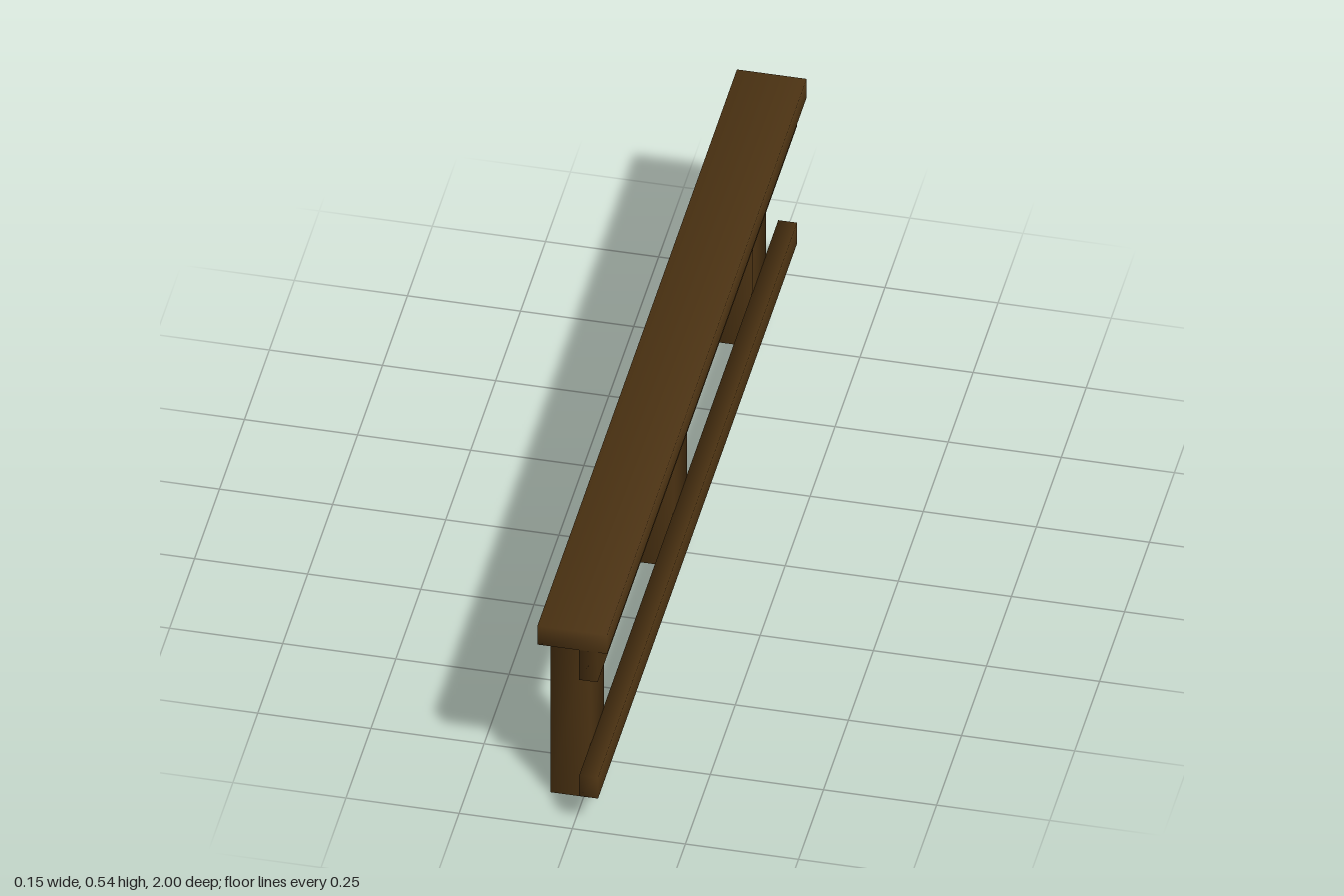
import * as THREE from 'three';
import { mergeVertices } from 'three/addons/utils/BufferGeometryUtils.js';

const darkWood = new THREE.MeshStandardMaterial({ color: 0x4b3212, side: THREE.DoubleSide });
darkWood.name = 'darkWood';

// Hollow timber: a box open at the bottom (and optionally the top), shaded smoothly across its edges.
function timber(name, [x0, x1], [y0, y1], [z0, z1], hasTop) {
  const box = new THREE.BoxGeometry(x1 - x0, y1 - y0, z1 - z0);
  const index = Array.from(box.index.array);
  // Faces come in the order +x, -x, +y, -y, +z, -z, six indices each.
  const faces = hasTop ? [0, 1, 2, 4, 5] : [0, 1, 4, 5];
  box.setIndex(faces.flatMap((f) => index.slice(f * 6, f * 6 + 6)));
  box.clearGroups();
  box.deleteAttribute('normal');
  box.deleteAttribute('uv');
  const geometry = mergeVertices(box, 1e-4);
  geometry.computeVertexNormals();
  geometry.translate((x0 + x1) / 2, (y0 + y1) / 2, (z0 + z1) / 2);
  const mesh = new THREE.Mesh(geometry, darkWood);
  mesh.name = name;
  return mesh;
}

export function createModel() {
  const railing = new THREE.Group();
  railing.name = 'railing';

  // Flat handrail along the top
  railing.add(timber('handrail', [-0.077, 0.077], [0.491, 0.542], [-1, 1], true));

  // Rails fixed to the side of the posts
  railing.add(timber('upperRail', [0.0155, 0.056], [0.41, 0.491], [-1, 1], false));
  railing.add(timber('lowerRail', [0.0155, 0.057], [0.092, 0.149], [-0.995, 1], true));

  // Three posts
  [0.82, -0.01, -0.8].forEach((z, i) => {
    railing.add(timber(`post${i + 1}`, [-0.073, 0.0165], [0, 0.491], [z - 0.065, z + 0.065], false));
  });

  return railing;
}
